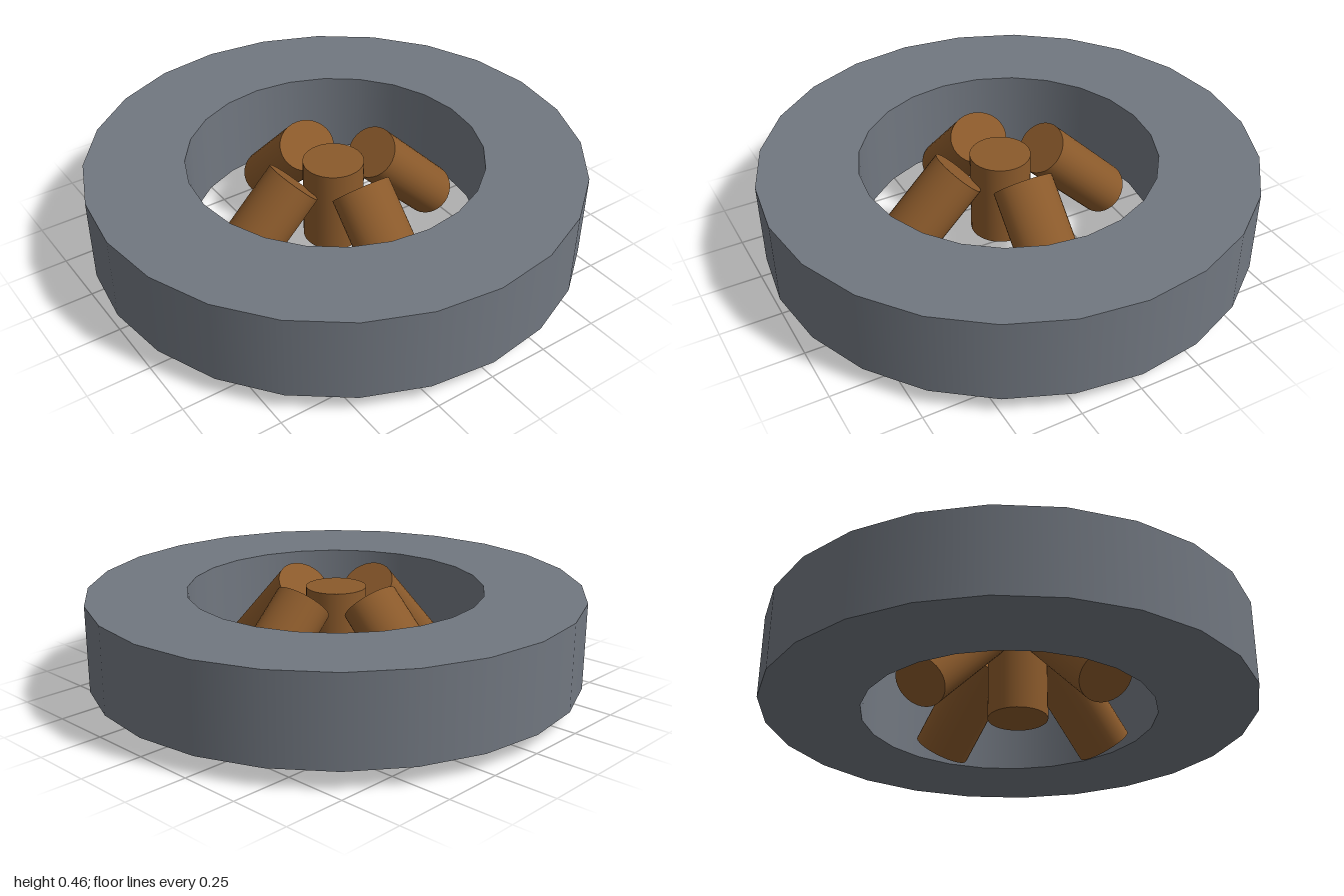
import * as THREE from 'three';
import { mergeGeometries } from 'three/addons/utils/BufferGeometryUtils.js';

export function createModel() {
  const model = new THREE.Group();
  model.name = 'firePit';

  const stone = new THREE.MeshStandardMaterial({ color: 0x717780 });
  stone.name = 'grey stone';
  const wood = new THREE.MeshStandardMaterial({ color: 0x8b5a2b });
  wood.name = 'brown wood';

  // Stone ring: one lathed band per side keeps the edges sharp
  const corners = [[0.6, 0.08], [1, 0.08], [1, 0.43], [0.6, 0.43]].map(([x, y]) => new THREE.Vector2(x, y));
  const bands = corners.map((p, i) => new THREE.LatheGeometry([p, corners[(i + 1) % 4]], 24));
  const ring = new THREE.Mesh(mergeGeometries(bands), stone);
  ring.name = 'stoneRing';
  model.add(ring);

  // Log pile, slightly off centre
  const logs = new THREE.Group();
  logs.name = 'logPile';
  logs.position.set(-0.027, 0, 0.024);
  model.add(logs);

  const centreLog = new THREE.Mesh(new THREE.CylinderGeometry(0.123, 0.123, 0.355, 32), wood);
  centreLog.name = 'centreLog';
  centreLog.position.y = 0.245;
  logs.add(centreLog);

  // Four leaning logs, a little flattened, sloping down and outward
  const leanGeometry = new THREE.CylinderGeometry(0.123, 0.123, 0.436, 32);
  leanGeometry.scale(0.875, 1, 1);
  leanGeometry.rotateZ(Math.PI / 4);
  leanGeometry.translate(0.342, 0.237, 0);
  ['left', 'back', 'right', 'front'].forEach((side, i) => {
    const log = new THREE.Mesh(leanGeometry, wood);
    log.name = side + 'Log';
    log.rotation.y = i * Math.PI / 2;
    logs.add(log);
  });

  return model;
}
